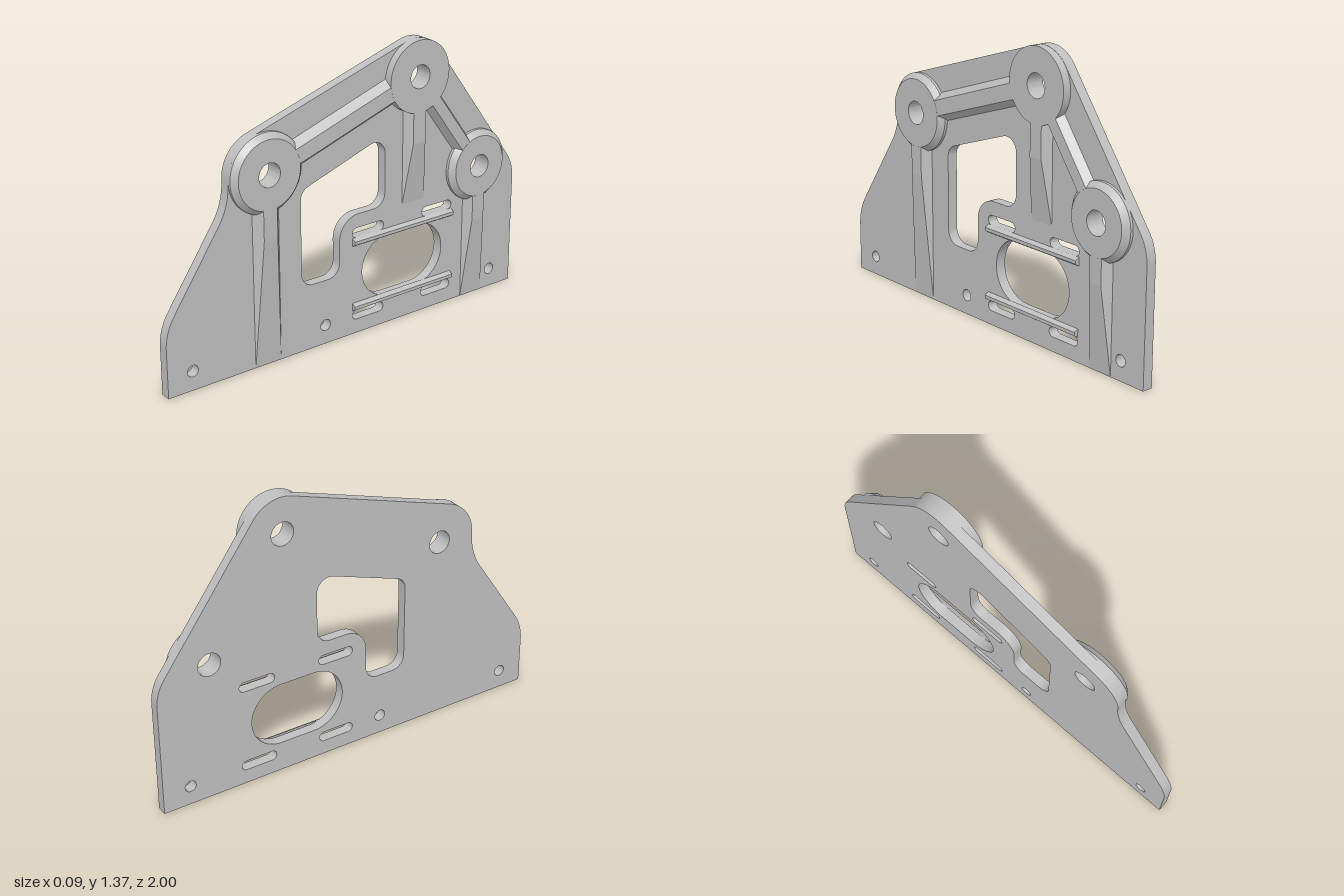
import * as THREE from 'three';
import { toCreasedNormals } from 'three/addons/utils/BufferGeometryUtils.js';

const BACK = -0.046, FACE = 0.005, TOP = 0.045; // plate back, plate face, boss top (x)
const RISE = TOP - FACE;
const HOLE = 0.056;

// Parts are drawn as (u, y) with u = -z, and stand out along +x.
const bosses = {
  front: { u: -0.474, y: 0.92, r: 0.187, top: 0.162 },
  peak: { u: 0.362, y: 1.197, r: 0.172, top: 0.172 },
  rear: { u: 0.741, y: 0.68, r: 0.176, top: 0.15 },
};

// Closed polygon whose corners [u, y, radius] are rounded by arcs
function roundedPath(path, corners) {
  const n = corners.length;
  corners.forEach(([u, y, r], i) => {
    const c = new THREE.Vector2(u, y);
    const toPrev = new THREE.Vector2(...corners[(i + n - 1) % n].slice(0, 2)).sub(c).normalize();
    const toNext = new THREE.Vector2(...corners[(i + 1) % n].slice(0, 2)).sub(c).normalize();
    const turn = Math.PI - Math.acos(toPrev.dot(toNext));
    const t = r * Math.tan(turn / 2), k = t - r * (4 / 3) * Math.tan(turn / 4);
    const at = (dir, d) => c.clone().addScaledVector(dir, d);
    const a = at(toPrev, t), b = at(toNext, t);
    if (i === 0) path.moveTo(a.x, a.y); else path.lineTo(a.x, a.y);
    if (r > 0) {
      const h1 = at(toPrev, k), h2 = at(toNext, k);
      path.bezierCurveTo(h1.x, h1.y, h2.x, h2.y, b.x, b.y);
    }
  });
  path.closePath();
  return path;
}

const circle = (u, y, r) => new THREE.Path().absarc(u, y, r, 0, Math.PI * 2);

// Horizontal slot with round ends
function slot(u, y, halfLength, r) {
  const d = halfLength - r, p = new THREE.Path();
  p.absarc(u + d, y, r, -Math.PI / 2, Math.PI / 2);
  p.absarc(u - d, y, r, Math.PI / 2, Math.PI * 1.5);
  p.closePath();
  return p;
}

function plateGeometry() {
  const shape = roundedPath(new THREE.Shape(), [
    [-1, 0, 0], [1, 0, 0], [1, 0.624, 0.22], [0.429, 1.398, 0.172],
    [-0.661, 1.057, 0.187], [-0.661, 0.812, 0.32], [-1, 0.314, 0.26],
  ]);
  // Stepped window
  shape.holes.push(roundedPath(new THREE.Path(), [
    [-0.284, 0.786, 0.06], [-0.284, 0.32, 0.065], [-0.07, 0.32, 0.065],
    [-0.07, 0.6, 0.11], [0.193, 0.6, 0.065], [0.193, 0.947, 0.065],
  ]));
  // Oval opening, adjusting slots, mounting holes and pivot holes
  shape.holes.push(slot(0.302, 0.302, 0.241, 0.155));
  for (const u of [0.096, 0.51]) for (const y of [0.094, 0.508]) shape.holes.push(slot(u, y, 0.091, 0.024));
  for (const u of [-0.872, -0.152, 0.864]) shape.holes.push(circle(u, 0.094, 0.028));
  for (const b of Object.values(bosses)) shape.holes.push(circle(b.u, b.y, HOLE));
  const g = new THREE.ExtrudeGeometry(shape, { depth: FACE - BACK, bevelEnabled: false, curveSegments: 24 });
  g.rotateY(Math.PI / 2).translate(BACK, 0, 0);
  return toCreasedNormals(g, 0.5);
}

// Ring with a sloped rim around a pivot hole
function bossGeometry({ u, y, r, top }) {
  const rim = r > top ? [[r, 0.014], [top, RISE]] : [[r, RISE]];
  const profile = [[r, -0.003], ...rim, [HOLE, RISE], [HOLE, -0.003]].map((p) => new THREE.Vector2(...p));
  const g = new THREE.LatheGeometry(profile, 48);
  g.rotateZ(-Math.PI / 2).translate(FACE, y, -u);
  return toCreasedNormals(g, 0.4);
}

// Drafted bar from a to b; sections are [fraction, height], and the top widens as the height falls
function barGeometry(a, b, base, top, full, sections) {
  const dir = new THREE.Vector2(b[0] - a[0], b[1] - a[1]);
  const side = new THREE.Vector2(-dir.y, dir.x).normalize();
  const rings = sections.map(([f, h]) => {
    const w = base - (base - top) * (h / full);
    return [[-base, -0.003], [-base, 0], [-w, h], [w, h], [base, 0], [base, -0.003]].map(([s, x]) =>
      [FACE + x, a[1] + dir.y * f + side.y * s, -(a[0] + dir.x * f + side.x * s)]);
  });
  const pos = [];
  const quad = (p, q, r, s) => pos.push(...p, ...q, ...r, ...p, ...r, ...s);
  for (let i = 0; i + 1 < rings.length; i++) {
    for (let j = 0; j < 5; j++) quad(rings[i][j], rings[i][j + 1], rings[i + 1][j + 1], rings[i + 1][j]);
  }
  const cap = (r) => { quad(r[0], r[1], r[4], r[5]); quad(r[1], r[2], r[3], r[4]); };
  cap([...rings[0]].reverse());
  cap(rings[rings.length - 1]);
  const g = new THREE.BufferGeometry();
  g.setAttribute('position', new THREE.Float32BufferAttribute(pos, 3));
  g.computeVertexNormals();
  return g;
}

export function createModel() {
  const group = new THREE.Group();
  group.name = 'mountingPlate';
  const grey = new THREE.MeshStandardMaterial({ color: 0xbfbfbf, side: THREE.DoubleSide });
  grey.name = 'grey metal';
  const add = (name, geometry) => {
    const mesh = new THREE.Mesh(geometry, grey);
    mesh.name = name;
    group.add(mesh);
  };

  add('plate', plateGeometry());
  for (const [name, b] of Object.entries(bosses)) add(name + 'Boss', bossGeometry(b));

  // Ridges joining the bosses, stopping short of the pivot holes
  const ridge = (name, p, q, base, top) => {
    const length = Math.hypot(q.u - p.u, q.y - p.y), f = 0.12 / length;
    const h = RISE - 0.0005;
    add(name, barGeometry([p.u, p.y], [q.u, q.y], base, top, h, [[f, h], [1 - f, h]]));
  };
  ridge('upperRidge', bosses.front, bosses.peak, 0.066, 0.036);
  ridge('rearRidge', bosses.peak, bosses.rear, 0.05, 0.028);

  // Upright ribs that fade into the plate: [boss, half width, fade start, foot]
  const ribs = [['front', 0.07, 0.62, 0], ['peak', 0.066, 0.88, 0.58], ['rear', 0.066, 0.41, 0]];
  for (const [name, width, fade, foot] of ribs) {
    const { u, y } = bosses[name], start = y - 0.12, h = RISE - 0.0005;
    add(name + 'Rib', barGeometry([u, start], [u, foot], width, 0.036, h,
      [[0, h], [(start - fade) / (start - foot), h], [1, 0.0002]]));
  }

  // Guide rails above and below the oval opening
  for (const [name, y] of [['upperRail', 0.465], ['lowerRail', 0.137]]) {
    add(name, barGeometry([0.004, y], [0.602, y], 0.02, 0.008, 0.02, [[0, 0.02], [1, 0.02]]));
  }
  return group;
}
